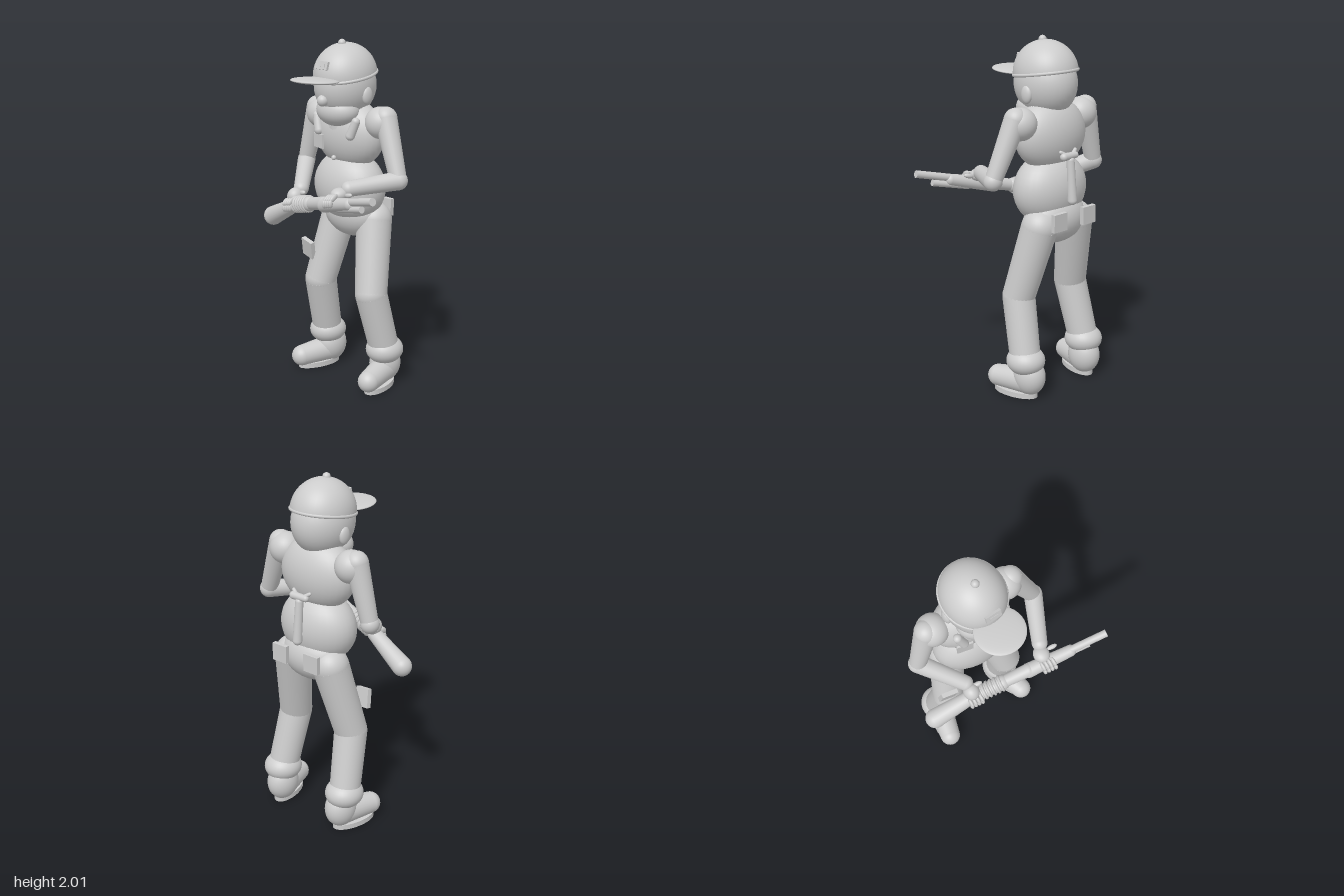
import * as THREE from 'three';

const grey = new THREE.MeshStandardMaterial({ color: 0xcccccc });
grey.name = 'light grey';
const CX = -0.073; // body centre line

const V = (p) => new THREE.Vector3(...p);

export function createModel() {
  const root = new THREE.Group();
  root.name = 'figure';

  function add(name, geo, pos = [0, 0, 0], rot = [0, 0, 0]) {
    const m = new THREE.Mesh(geo, grey);
    m.name = name;
    m.position.set(...pos);
    m.rotation.set(...rot);
    root.add(m);
    return m;
  }
  const ball = (name, pos, r, rot) => {
    const s = Array.isArray(r) ? r : [r, r, r];
    return add(name, new THREE.SphereGeometry(1, 32, 20).scale(...s), pos, rot);
  };
  const box = (name, pos, size, rot) => add(name, new THREE.BoxGeometry(...size), pos, rot);

  // tapered rod between two points, with optional round ends
  function limb(name, a, b, ra, rb, round = true) {
    const A = V(a), B = V(b), d = B.clone().sub(A);
    const g = new THREE.CylinderGeometry(rb, ra, d.length(), 28);
    const m = add(name, g, A.clone().add(B).multiplyScalar(0.5).toArray());
    m.quaternion.setFromUnitVectors(new THREE.Vector3(0, 1, 0), d.normalize());
    if (round) {
      ball(name + 'Start', a, ra);
      ball(name + 'End', b, rb);
    }
    return m;
  }

  // torso
  ball('chest', [CX, 1.475, -0.13], [0.235, 0.2, 0.142]);
  ball('belly', [CX, 1.17, -0.13], [0.235, 0.205, 0.165]);
  ball('pelvis', [CX, 1.01, -0.17], [0.2, 0.145, 0.138]);
  limb('neck', [CX, 1.5, -0.1], [CX, 1.66, -0.09], 0.11, 0.1, false);
  ball('shirtButton', [CX, 1.35, 0], 0.014);

  // head
  ball('head', [CX, 1.75, -0.092], [0.162, 0.185, 0.188]);
  ball('jaw', [CX, 1.615, -0.035], [0.135, 0.09, 0.107]);
  ball('nose', [CX, 1.682, 0.085], 0.032);

  // cap, tipped slightly forward
  const tilt = 0.15;
  add('capDome', new THREE.SphereGeometry(1, 40, 16, 0, Math.PI * 2, 0, Math.PI / 2)
    .scale(0.17, 0.178, 0.188), [CX, 1.807, -0.092], [tilt, 0, 0]);
  add('capBand', new THREE.TorusGeometry(0.168, 0.009, 10, 48).rotateX(Math.PI / 2)
    .scale(1, 1, 1.09), [CX, 1.807, -0.092], [tilt, 0, 0]);
  ball('capButton', [CX, 1.983, -0.066], 0.022);
  ball('capBrim', [CX, 1.798, 0.143], [0.134, 0.016, 0.135], [-0.06, 0, 0]);
  box('capPatch', [CX, 1.875, 0.087], [0.088, 0.045, 0.014], [-0.3, 0, 0]);
  box('capPatchInset', [CX, 1.876, 0.094], [0.05, 0.016, 0.008], [-0.3, 0, 0]);

  // mirrored body parts
  for (const s of [-1, 1]) {
    const side = s > 0 ? 'left' : 'right';
    const X = (dx) => CX + s * dx;
    ball(side + 'Ear', [X(0.155), 1.705, -0.105], [0.022, 0.05, 0.036]);
    ball(side + 'Shoulder', [X(0.228), 1.56, -0.137], 0.09);
    limb(side + 'Drawstring', [X(0.15), 1.57, -0.02], [X(0.122), 1.49, -0.006], 0.024, 0.026);
    box(side + 'SeatPocket', [X(0.111), 1.03, -0.318], [0.097, 0.1, 0.026]);

    // leg and boot
    limb(side + 'Thigh', [X(0.135), 0.98, -0.19], [X(0.204), 0.57, -0.095], 0.103, 0.093);
    limb(side + 'Shin', [X(0.204), 0.57, -0.095], [X(0.233), 0.22, -0.18], 0.093, 0.087);
    ball(side + 'BootCuff', [X(0.233), 0.215, -0.183], [0.108, 0.083, 0.112]);
    ball(side + 'BootHeel', [X(0.222), 0.12, -0.2], [0.085, 0.11, 0.1]);
    limb(side + 'BootFoot', [X(0.228), 0.09, -0.18], [X(0.275), 0.077, -0.002], 0.075, 0.062);
    const sole = new THREE.CylinderGeometry(1, 1, 0.03, 32).scale(0.065, 1, 0.138);
    add(side + 'BootSole', sole, [X(0.25), 0.015, -0.12], [0, s * 0.24, 0]);
  }
  box('chestPocket', [-0.192, 1.43, -0.002], [0.09, 0.08, 0.012], [0, -0.25, 0]);
  box('thighPocket', [-0.312, 0.762, -0.03], [0.098, 0.108, 0.026], [0.2, -0.2, -0.12]);

  // arms
  const arms = {
    right: [[-0.337, 1.59, -0.137], [-0.422, 1.265, -0.125], [-0.255, 1.155, 0.08]],
    left: [[0.191, 1.59, -0.137], [0.322, 1.268, -0.1], [0.188, 1.245, 0.15]],
  };
  for (const [side, [sh, el, wr]] of Object.entries(arms)) {
    limb(side + 'UpperArm', sh, el, 0.064, 0.047);
    limb(side + 'Forearm', el, wr, 0.052, 0.043);
  }
  ball('rightHand', [-0.25, 1.12, 0.13], [0.045, 0.05, 0.05]);
  ball('leftHand', [0.165, 1.22, 0.2], [0.045, 0.035, 0.05]);
  ball('leftThumb', [0.235, 1.225, 0.2], [0.03, 0.013, 0.013], [0, -0.2, 0.25]);
  ball('rightThumb', [-0.205, 1.145, 0.12], [0.03, 0.014, 0.014], [0, -0.2, 0.25]);

  // long gun: points along its axis, found from x
  const axis = (x, dy = 0, dz = 0) => {
    const t = (x + 0.25) / 0.765;
    return [x, 1.075 + 0.19 * t + dy, 0.145 + 0.17 * t + dz];
  };
  limb('stock', [-0.475, 0.955, 0.097], [-0.25, 1.068, 0.14], 0.056, 0.04);
  limb('grip', axis(-0.25), axis(-0.08), 0.04, 0.042);
  limb('receiver', axis(-0.085), axis(0.07), 0.034, 0.038);
  limb('foreEnd', axis(0.07, -0.008), axis(0.31, -0.01), 0.042, 0.033);
  limb('barrel', axis(0.0, 0.006), axis(0.515), 0.021, 0.021, false);
  limb('magazineTube', axis(0.2, -0.035), axis(0.42, -0.04), 0.018, 0.018, false);
  const dir = V(axis(0.5)).sub(V(axis(0))).normalize();
  for (let i = 0; i < 6; i++) {
    const rib = add('gripRib', new THREE.TorusGeometry(0.041, 0.009, 8, 28), axis(-0.21 + i * 0.024));
    rib.quaternion.setFromUnitVectors(new THREE.Vector3(0, 0, 1), dir);
  }

  // fingers wrapped around the gun
  for (let i = 0; i < 4; i++) {
    const xr = -0.283 + i * 0.02, xl = 0.135 + i * 0.02;
    ball('rightFinger', axis(xr, 0.022, 0.036), [0.011, 0.018, 0.028], [0.6, 0, 0]);
    ball('rightFingertip', axis(xr, -0.012, 0.047), [0.011, 0.022, 0.014]);
    ball('leftFinger', axis(xl, 0.032, 0.028), [0.011, 0.016, 0.03], [0.5, 0, 0]);
    ball('leftFingertip', axis(xl, 0.004, 0.052), [0.011, 0.022, 0.014]);
  }

  // hammer hanging on the back
  limb('hammerHandle', [CX, 1.35, -0.288], [CX, 1.13, -0.305], 0.022, 0.026);
  limb('hammerHead', [CX - 0.04, 1.375, -0.283], [CX + 0.045, 1.375, -0.283], 0.018, 0.022);
  for (const s of [-1, 1]) {
    limb('hammerProng', [CX + s * 0.02, 1.375, -0.283], [CX + s * 0.055, 1.4, -0.268], 0.014, 0.01);
  }
  return root;
}
